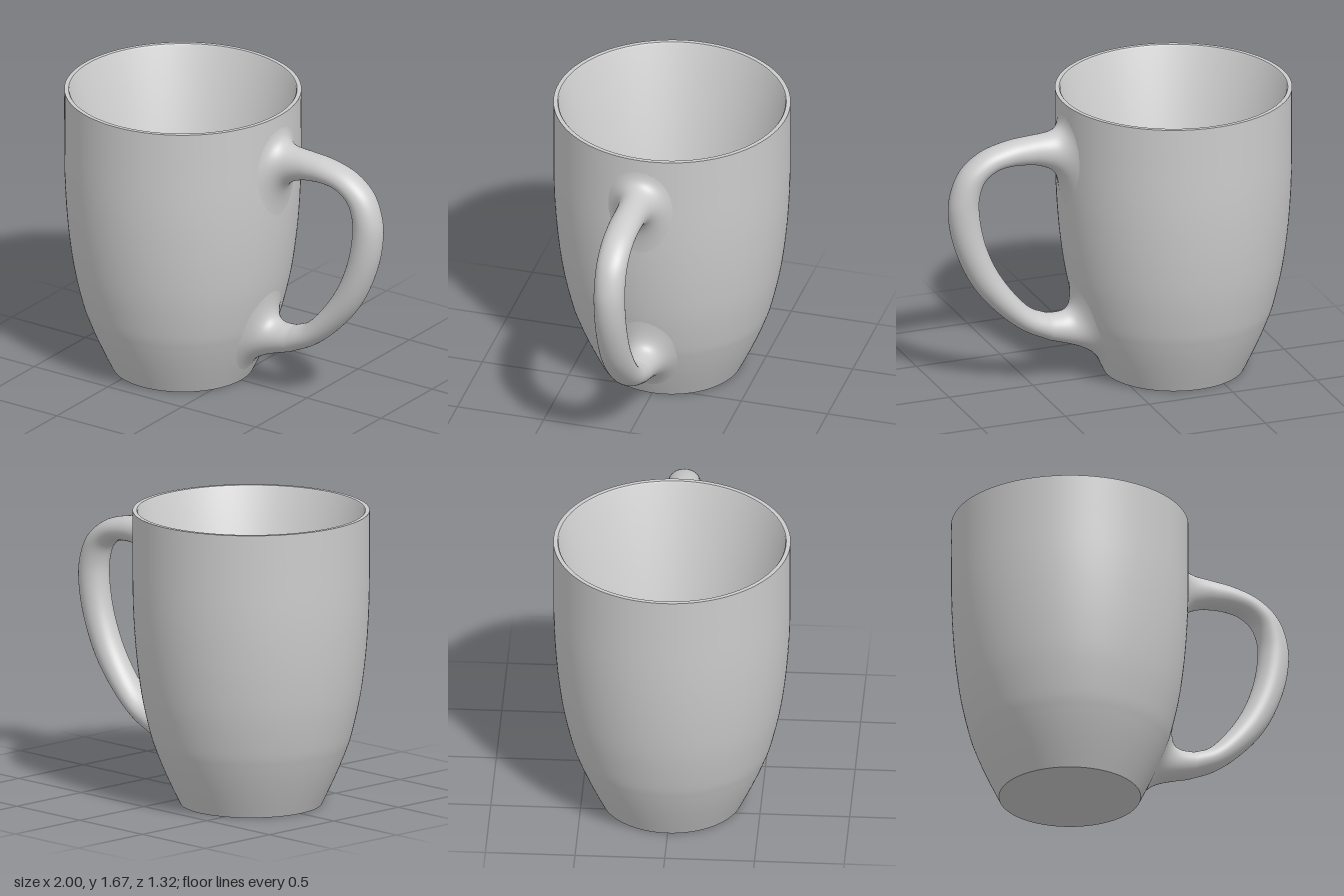
import * as THREE from 'three';
import { toCreasedNormals } from 'three/addons/utils/BufferGeometryUtils.js';

const CENTER_X = -0.34, HEIGHT = 1.667;
const v2 = ([x, y]) => new THREE.Vector2(x, y);
const v3 = ([x, y]) => new THREE.Vector3(x, y, 0);

// Outer wall: radius, height
const wall = new THREE.SplineCurve([
  [0.395, 0], [0.443, 0.1], [0.488, 0.2], [0.528, 0.3], [0.561, 0.4], [0.606, 0.6],
  [0.634, 0.8], [0.651, 1.0], [0.659, 1.2], [0.66, 1.45], [0.66, HEIGHT],
].map(v2)).getPoints(60);

function wallRadius(y) {
  const i = Math.max(1, wall.findIndex((p) => p.y >= y));
  const a = wall[i - 1], b = wall[i];
  return THREE.MathUtils.mapLinear(y, a.y, b.y, a.x, b.x);
}

// Ring of points with an elliptical section
function ring(point, count = 40) {
  return Array.from({ length: count }, (_, j) => {
    const t = (j / count) * Math.PI * 2;
    return point(Math.cos(t), Math.sin(t));
  });
}

// Ellipse between two heights, projected on the cup wall
function wallRing(top, bottom, halfWidth, inset) {
  return ring((c, s) => {
    const y = (top + bottom) / 2 + c * (top - bottom) / 2;
    const z = s * halfWidth;
    const r = wallRadius(y) - inset;
    return new THREE.Vector3(CENTER_X + Math.sqrt(r * r - z * z), y, z);
  });
}

// Fillet rings that leave the wall tangentially and run into the handle
function flare(base, corner, end, steps = 20) {
  return Array.from({ length: steps }, (_, i) => base.map((p, j) =>
    new THREE.CubicBezierCurve3(p, corner[j], corner[j].clone().lerp(end[j], 0.25), end[j])
      .getPoint(i / steps)));
}

// The same ring read from its lower edge, in the opposite direction
const turned = (r) => r.map((_, j) => r[(r.length * 1.5 - j) % r.length]);

function loft(rings) {
  const n = rings[0].length, index = [];
  for (let i = 0; i < rings.length - 1; i++) {
    for (let j = 0; j < n; j++) {
      const k = (j + 1) % n;
      const a = i * n + j, b = i * n + k, c = b + n, d = a + n;
      index.push(a, b, c, a, c, d);
    }
  }
  const geometry = new THREE.BufferGeometry().setFromPoints(rings.flat());
  geometry.setIndex(index);
  geometry.computeVertexNormals();
  return geometry;
}

function createHandle() {
  // Matching points along the outer and inner edge, from top to bottom
  const outer = new THREE.CatmullRomCurve3([
    [0.5, 1.492], [0.65, 1.477], [0.81, 1.428], [0.935, 1.325], [0.995, 1.17],
    [0.995, 1.02], [0.95, 0.84], [0.855, 0.64], [0.715, 0.47], [0.56, 0.34], [0.4, 0.26],
  ].map(v3));
  const inner = new THREE.CatmullRomCurve3([
    [0.5, 1.325], [0.62, 1.336], [0.72, 1.322], [0.79, 1.272], [0.823, 1.18],
    [0.823, 1.07], [0.79, 0.9], [0.715, 0.72], [0.605, 0.56], [0.505, 0.46], [0.41, 0.418],
  ].map(v3));
  const body = Array.from({ length: 61 }, (_, i) => {
    const a = outer.getPoint(i / 60), b = inner.getPoint(i / 60);
    const mid = a.clone().add(b).multiplyScalar(0.5), half = a.clone().sub(mid);
    return ring((c, s) => mid.clone().addScaledVector(half, c).setZ(s * 0.087));
  });
  const upper = flare(wallRing(1.62, 0.9, 0.36, 0.0015), wallRing(1.5, 1.27, 0.1, 0), body[0]);
  const lower = flare(wallRing(0.85, 0.04, 0.3, 0.0015), wallRing(0.4, 0.18, 0.1, 0), turned(body[60]));
  return loft([...upper, ...body, ...lower.reverse().map(turned)]);
}

function createCup() {
  // Outside up, over the rim, then straight down the tapered inside to the floor
  const profile = [
    new THREE.Vector2(0, 0), ...wall,
    ...[[0.636, HEIGHT], [0.63, HEIGHT - 0.008], [0.388, 0.08], [0, 0.08]].map(v2),
  ];
  return toCreasedNormals(new THREE.LatheGeometry(profile, 128), 0.5);
}

export function createModel() {
  const material = new THREE.MeshStandardMaterial({ color: 0xcccccc });
  const group = new THREE.Group();
  group.name = 'mug';

  const cup = new THREE.Mesh(createCup(), material);
  cup.name = 'cup';
  cup.position.x = CENTER_X;

  const handle = new THREE.Mesh(createHandle(), material);
  handle.name = 'handle';

  group.add(cup, handle);
  return group;
}
